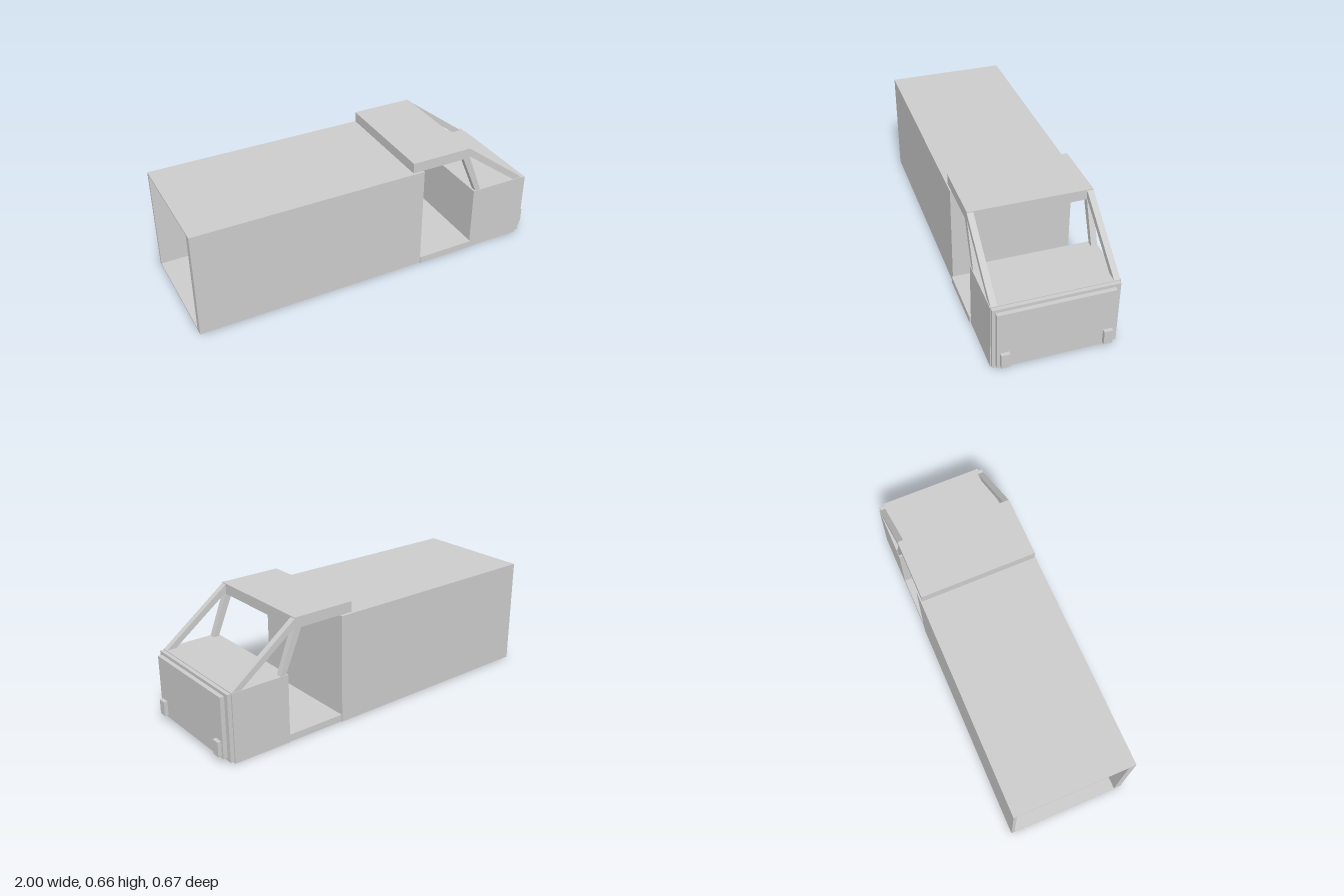
import * as THREE from 'three';

const material = new THREE.MeshStandardMaterial({ color: 0xcccccc, flatShading: true });

// Box given by its limits on each axis
function block(name, [x0, x1], [y0, y1], [z0, z1]) {
  const mesh = new THREE.Mesh(new THREE.BoxGeometry(x1 - x0, y1 - y0, z1 - z0), material);
  mesh.position.set((x0 + x1) / 2, (y0 + y1) / 2, (z0 + z1) / 2);
  mesh.name = name;
  return mesh;
}

// Side outline (x, y) extruded across z0..z1
function profile(name, points, [z0, z1]) {
  const shape = new THREE.Shape(points.map(([x, y]) => new THREE.Vector2(x, y)));
  const geometry = new THREE.ExtrudeGeometry(shape, { depth: z1 - z0, bevelEnabled: false });
  const mesh = new THREE.Mesh(geometry, material);
  mesh.position.z = z0;
  mesh.name = name;
  return mesh;
}

export function createModel() {
  const van = new THREE.Group();
  van.name = 'van';

  // Cargo box, hollow and open at the rear
  const cargo = new THREE.Group();
  cargo.name = 'cargoBox';
  const length = [-1, 0.285], height = [0.003, 0.595], width = [-0.333, 0.328];
  cargo.add(
    block('cargoFloor', length, [0.003, 0.011], width),
    block('cargoRoof', length, [0.587, 0.595], width),
    block('cargoRightWall', length, height, [-0.333, -0.315]),
    block('cargoLeftWall', length, height, [0.288, 0.328]),
    block('bulkhead', [0.275, 0.285], height, width),
  );
  van.add(cargo);

  // Cab: floor between the door openings, nose and stepped front panels
  const cab = new THREE.Group();
  cab.name = 'cab';
  cab.add(
    block('cabFloor', [0.285, 0.615], [0.003, 0.042], [-0.328, 0.334]),
    block('nose', [0.615, 0.936], [0, 0.375], [-0.328, 0.326]),
    block('frontPanel', [0.936, 0.957], [0.009, 0.371], [-0.32, 0.322]),
    block('grillePanel', [0.957, 0.98], [0.025, 0.354], [-0.293, 0.305]),
    block('cabRoof', [0.22, 0.567], [0.6, 0.657], [-0.325, 0.322]),
  );

  // Headlights and window pillars on both sides of the cab's centre line
  const centre = -0.0015;
  for (const side of [-1, 1]) {
    const label = side > 0 ? 'left' : 'right';
    const span = (inner, outer, mid = centre) =>
      [mid + side * inner, mid + side * outer].sort((a, b) => a - b);
    cab.add(
      block(label + 'Headlight', [0.98, 1], [0.037, 0.117], span(0.24, 0.285, 0.005)),
      profile(label + 'WindscreenPillar',
        [[0.567, 0.61], [0.882, 0.375], [0.934, 0.375], [0.567, 0.652]], span(0.291, 0.3235)),
      profile(label + 'QuarterPillar',
        [[0.53, 0.6], [0.626, 0.375], [0.658, 0.375], [0.567, 0.61]], span(0.291, 0.3235)),
    );
  }
  van.add(cab);
  return van;
}
